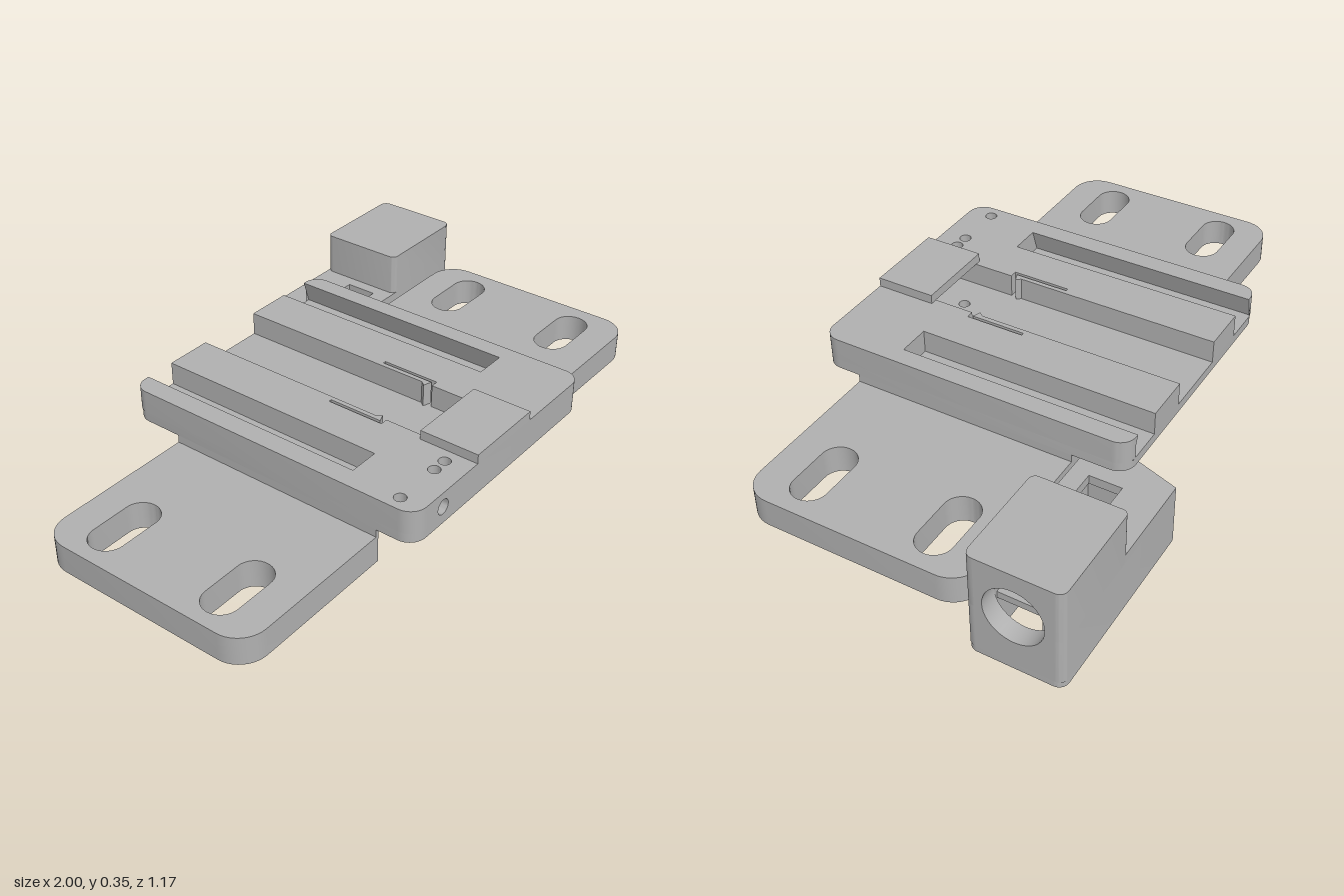
import * as THREE from 'three';
import { toCreasedNormals } from 'three/addons/utils/BufferGeometryUtils.js';
import { ConvexGeometry } from 'three/addons/geometries/ConvexGeometry.js';

// Outline from [x, z, cornerRadius] points
function outline(points, Type = THREE.Shape) {
  const s = new Type();
  const n = points.length;
  points.forEach((p, i) => {
    const c = new THREE.Vector2(p[0], p[1]);
    const r = p[2] || 0;
    const toward = (q) => new THREE.Vector2(q[0], q[1]).sub(c).setLength(r).add(c);
    const a = r ? toward(points[(i + n - 1) % n]) : c;
    if (i === 0) s.moveTo(a.x, a.y); else s.lineTo(a.x, a.y);
    if (r) {
      // cubic approximation of a quarter circle
      const b = toward(points[(i + 1) % n]);
      const h1 = a.clone().lerp(c, 0.552), h2 = b.clone().lerp(c, 0.552);
      s.bezierCurveTo(h1.x, h1.y, h2.x, h2.y, b.x, b.y);
    }
  });
  s.closePath();
  return s;
}

const rect = (x0, x1, z0, z1, r = 0) => [[x0, z0, r], [x1, z0, r], [x1, z1, r], [x0, z1, r]];

function circle(x, y, r) {
  const p = new THREE.Path();
  p.absarc(x, y, r, 0, Math.PI * 2, true);
  return p;
}

export function createModel() {
  const group = new THREE.Group();
  const grey = new THREE.MeshStandardMaterial({ color: 0xb0b0b0 });
  grey.name = 'machined grey';

  function add(name, geometry) {
    const mesh = new THREE.Mesh(toCreasedNormals(geometry, 0.6), grey);
    mesh.name = name;
    group.add(mesh);
    return mesh;
  }
  // Plate drawn in x,z and raised from y0 to y1
  function plateGeometry(points, y0, y1, holes = []) {
    const s = outline(points);
    s.holes.push(...holes);
    const g = new THREE.ExtrudeGeometry(s, { depth: y1 - y0, bevelEnabled: false, curveSegments: 10 });
    return g.rotateX(Math.PI / 2).translate(0, y1, 0);
  }
  const plate = (name, ...args) => add(name, plateGeometry(...args));
  function block(name, x0, x1, y0, y1, z0, z1) {
    const g = new THREE.BoxGeometry(x1 - x0, y1 - y0, z1 - z0);
    add(name, g.translate((x0 + x1) / 2, (y0 + y1) / 2, (z0 + z1) / 2));
  }

  const pins = () => [[-0.335, 0.3], [0.305, 0.3], [-0.015, 0.358]].map(([x, z]) => circle(x, z, 0.018));
  const frontHoles = () => [-0.405, -0.245, -0.195].map((x) => circle(x, 0.5, 0.019));

  // Base plate with four long mounting slots and a notch in the front edge
  const mountSlots = [];
  for (const x of [-0.955, 0.685]) {
    for (const z of [-0.177, 0.237]) {
      mountSlots.push(outline(rect(x, x + 0.24, z, z + 0.113, 0.056), THREE.Path));
    }
  }
  plate('basePlate', [
    [-1, -0.28, 0.09], [0.975, -0.28, 0.09], [0.975, 0.455, 0.09], [-0.155, 0.455],
    [-0.155, 0.37], [-0.44, 0.37], [-0.44, 0.455], [-1, 0.455, 0.09],
  ], 0.1, 0.19, [...mountSlots, ...pins()]);
  plate('spacer', [
    [-0.45, -0.28], [0.42, -0.28], [0.42, 0.455], [-0.155, 0.455],
    [-0.155, 0.37], [-0.44, 0.37], [-0.44, 0.455], [-0.45, 0.455],
  ], 0.19, 0.215, pins());

  // Carriage floor
  plate('carriageFloor', rect(-0.45, 0.42, -0.455, 0.58, 0.055), 0.215, 0.245, [...pins(), ...frontHoles()]);

  // Carriage rails: side slots, middle channel with spring clips, front screw notch
  const rails = plateGeometry([
    [-0.45, -0.455, 0.05], [-0.385, -0.455], [-0.385, 0.325], [-0.285, 0.325], [-0.285, -0.455],
    [-0.13, -0.455], [-0.13, 0.215], [-0.118, 0.23], [-0.145, 0.24], [-0.145, 0.06],
    [-0.155, 0.06], [-0.155, 0.252], [-0.13, 0.252], [-0.13, 0.53],
    [0.1, 0.53], [0.1, 0.252], [0.125, 0.252], [0.125, 0.06],
    [0.115, 0.06], [0.115, 0.24], [0.088, 0.23], [0.1, 0.215], [0.1, -0.455],
    [0.255, -0.455], [0.255, 0.325], [0.36, 0.325], [0.36, -0.455], [0.42, -0.455, 0.05],
    [0.42, 0.58, 0.055], [-0.28, 0.58], [-0.28, 0.53], [-0.35, 0.53], [-0.35, 0.58], [-0.45, 0.58, 0.055],
  ], 0.245, 0.32, frontHoles());
  // Undercut the outer wall of each side slot
  const pos = rails.attributes.position;
  for (let i = 0; i < pos.count; i++) {
    if (pos.getY(i) > 0.25 || pos.getZ(i) > 0.33) continue;
    const x = pos.getX(i);
    if (Math.abs(x + 0.385) < 1e-4) pos.setX(i, x - 0.025);
    if (Math.abs(x - 0.36) < 1e-4) pos.setX(i, x + 0.025);
  }
  add('carriageRails', rails);

  // Screw hole in the carriage front
  const screw = outline(rect(-0.35, -0.28, 0.245, 0.32));
  screw.holes.push(circle(-0.315, 0.271, 0.0245));
  add('screwHole', new THREE.ExtrudeGeometry(screw, { depth: 0.05, bevelEnabled: false }).translate(0, 0, 0.53));

  // Cap over the front end of the middle channel
  block('channelCap', -0.15, 0.123, 0.32, 0.35, 0.385, 0.58);

  // Rear housing: bottom rim, hollow lower walls, arm cover with window
  plate('housingRim', [[0.38, -0.587], [1, -0.587, 0.03], [1, -0.297, 0.03], [0.38, -0.297]],
    0, 0.02, [outline(rect(0.41, 0.97, -0.562, -0.322), THREE.Path)]);
  plate('housingWalls', [
    [0.38, -0.587], [1, -0.587, 0.025], [1, -0.56], [0.94, -0.56], [0.94, -0.53], [0.45, -0.53],
    [0.45, -0.35], [0.94, -0.35], [0.94, -0.325], [1, -0.325, 0], [1, -0.324, 0], [0.999, -0.315],
    [0.992, -0.304], [0.975, -0.297], [0.38, -0.297],
  ], 0.02, 0.17);
  plate('armCover', rect(0.38, 0.7, -0.587, -0.297), 0.17, 0.2,
    [outline(rect(0.455, 0.62, -0.46, -0.355), THREE.Path)]);

  // Slanted inner end of the arm
  add('armTaper', new ConvexGeometry([
    [0.38, 0, -0.587], [0.38, 0.2, -0.587], [0.38, 0, -0.297], [0.38, 0.2, -0.297], [0.285, 0.2, -0.297],
  ].map((p) => new THREE.Vector3(...p))));

  // Tall end box: walls, roof and side wall with a round opening
  plate('boxWalls', [
    [0.66, -0.587, 0.02], [1, -0.587, 0.025], [1, -0.56], [0.94, -0.56], [0.94, -0.53], [0.7, -0.53],
    [0.7, -0.35], [0.94, -0.35], [0.94, -0.325], [1, -0.325], [0.999, -0.315],
    [0.992, -0.304], [0.975, -0.297], [0.66, -0.297, 0.02],
  ], 0.17, 0.34);
  block('boxRoof', 0.69, 0.945, 0.3, 0.34, -0.54, -0.34);
  const sideWall = outline(rect(0.325, 0.56, 0.02, 0.34));
  sideWall.holes.push(circle(0.441, 0.191, 0.092));
  add('boxSideWall', new THREE.ExtrudeGeometry(sideWall, { depth: 0.06, bevelEnabled: false, curveSegments: 20 })
    .rotateY(Math.PI / 2).translate(0.94, 0, 0));
  block('innerPillar', 0.69, 0.93, 0.05, 0.31, -0.535, -0.485);
  block('innerShelf', 0.69, 0.93, 0.15, 0.172, -0.49, -0.345);

  return group;
}
